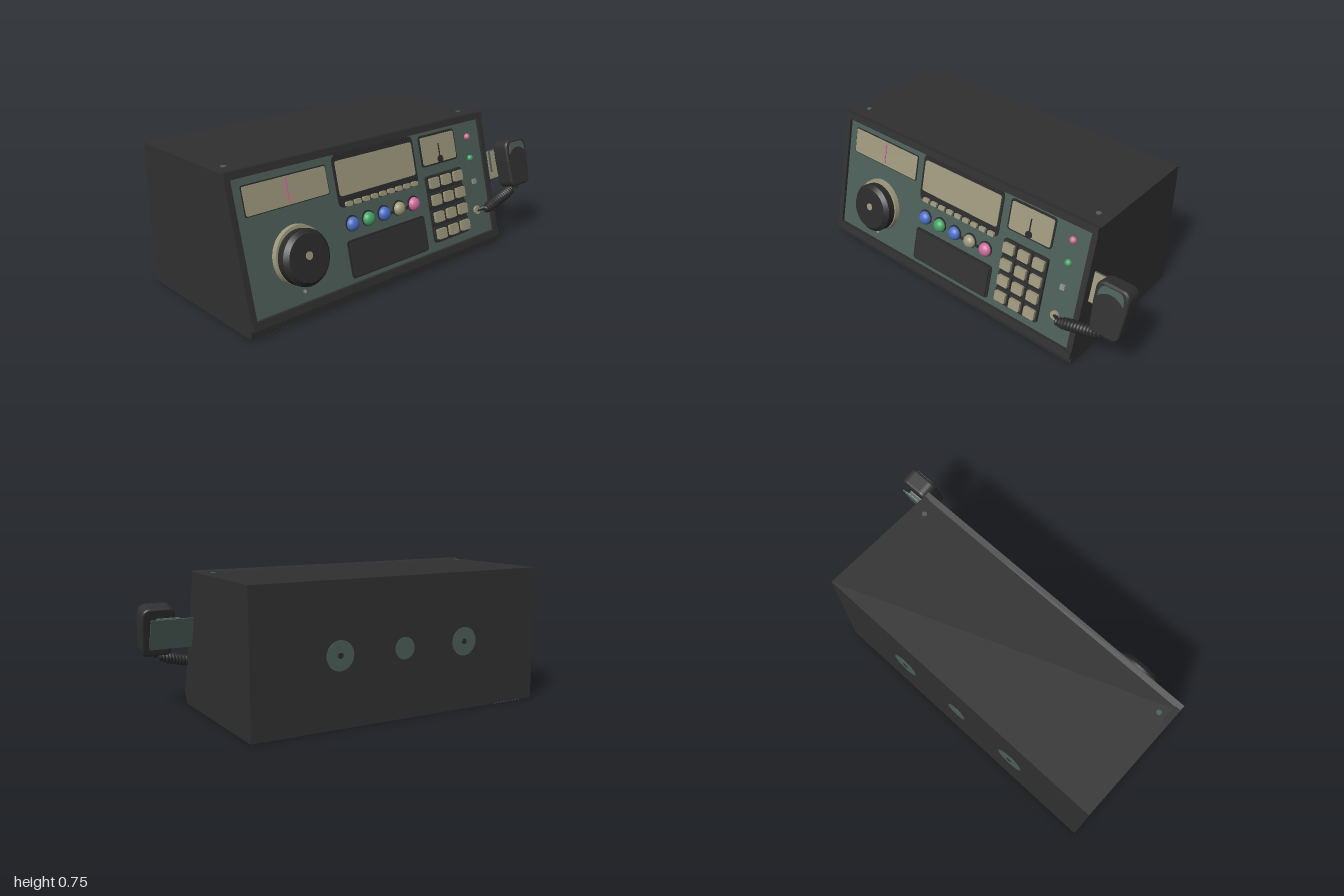
import * as THREE from 'three';

const mat = (name, color) => {
  const m = new THREE.MeshStandardMaterial({ color });
  m.name = name;
  return m;
};

export function createModel() {
  const root = new THREE.Group();
  root.name = 'deskRadio';
  const M = {
    case: mat('charcoal case', 0x303030),
    dark: mat('dark plastic', 0x2a2a2a),
    panel: mat('grey green', 0x4b5d57),
    beige: mat('beige', 0x9b957a),
    blue: mat('blue', 0x4a6ec4),
    green: mat('green', 0x44a062),
    pink: mat('pink', 0xcb6c98),
    grey: mat('light grey', 0x8a8f8c),
  };
  const add = (parent, name, geo, m) => {
    const mesh = new THREE.Mesh(geo, m);
    mesh.name = name;
    parent.add(mesh);
    return mesh;
  };

  // Case: side profiles (z, y) extruded along x
  const profile = (name, pts, xMax, width) => {
    const s = new THREE.Shape(pts.map(p => new THREE.Vector2(...p)));
    const g = new THREE.ExtrudeGeometry(s, { depth: width, bevelEnabled: false });
    g.rotateY(-Math.PI / 2).translate(xMax, 0, 0);
    return add(root, name, g, M.case);
  };
  profile('caseBody', [[-0.455, 0], [0.41, 0], [0.41, 0.045], [0.4, 0.045], [0.22, 0.74], [-0.455, 0.74]], 0.73, 1.73);
  for (const x of [0.73, -0.968])
    profile('sideCheek', [[0.3, 0.045], [0.425, 0.045], [0.246, 0.74], [0.12, 0.74]], x, 0.032);

  // Sloping front: local y runs up the slope, local z points out of it
  const a = Math.atan(0.259), C = Math.cos(a), S = Math.sin(a);
  const front = new THREE.Group();
  front.name = 'frontFace';
  front.position.z = 0.443;
  front.rotation.x = -a;
  root.add(front);
  const P = -0.02; // panel surface
  const up = (y, w) => (y - w * S) / C;

  const box = (name, m, x0, x1, y0, y1, w0, w1) => {
    const h = (y1 - y0) / C;
    const mesh = add(front, name, new THREE.BoxGeometry(x1 - x0, h, w1 - w0), m);
    mesh.position.set((x0 + x1) / 2, up((y0 + y1) / 2, w1), (w0 + w1) / 2);
    return mesh;
  };
  const roundRect = (w, h, r) => {
    const s = new THREE.Shape(), x = w / 2, y = h / 2;
    s.moveTo(-x + r, -y).lineTo(x - r, -y).quadraticCurveTo(x, -y, x, -y + r);
    s.lineTo(x, y - r).quadraticCurveTo(x, y, x - r, y);
    s.lineTo(-x + r, y).quadraticCurveTo(-x, y, -x, y - r);
    s.lineTo(-x, -y + r).quadraticCurveTo(-x, -y, -x + r, -y);
    return s;
  };
  const plate = (name, m, x0, x1, y0, y1, w0, w1, r = 0.02) => {
    const g = new THREE.ExtrudeGeometry(roundRect(x1 - x0, (y1 - y0) / C, r),
      { depth: w1 - w0, bevelEnabled: false, curveSegments: 4 });
    const mesh = add(front, name, g, m);
    mesh.position.set((x0 + x1) / 2, up((y0 + y1) / 2, w1), w0);
    return mesh;
  };
  const disc = (name, m, x, y, r0, r1, w0, w1, seg = 40) => {
    const g = new THREE.CylinderGeometry(r1, r0, w1 - w0, seg).rotateX(Math.PI / 2);
    const mesh = add(front, name, g, m);
    mesh.position.set(x, up(y, w1), (w0 + w1) / 2);
    return mesh;
  };

  // Rails and panel
  box('topRail', M.case, -1, 0.73, 0.712, 0.747, -0.04, 0.002);
  box('bottomRail', M.case, -1, 0.73, 0.048, 0.085, -0.04, 0.002);
  box('frontPanel', M.panel, -0.968, 0.698, 0.08, 0.715, -0.035, P);

  // Tuning scale with needle
  plate('scaleBezel', M.dark, -0.92, -0.43, 0.53, 0.672, P, P + 0.003, 0.01);
  plate('scaleDisplay', M.beige, -0.915, -0.435, 0.535, 0.667, P, P + 0.006, 0.01);
  box('scaleNeedle', M.pink, -0.68, -0.67, 0.548, 0.66, P, P + 0.009);

  // Main display with a row of small buttons
  plate('mainBezel', M.dark, -0.387, 0.17, 0.448, 0.707, P, P + 0.004, 0.04);
  plate('mainDisplay', M.beige, -0.372, 0.155, 0.505, 0.675, P, P + 0.008, 0.015);
  for (let i = 0; i < 9; i++) {
    const x = -0.33 + i * 0.0575;
    plate('displayButton', M.beige, x - 0.021, x + 0.021, 0.454, 0.477, P, P + 0.018, 0.008);
  }

  // Meter
  plate('meterBezel', M.dark, 0.215, 0.495, 0.525, 0.69, P, P + 0.004, 0.02);
  plate('meterDisplay', M.beige, 0.226, 0.486, 0.535, 0.68, P, P + 0.008, 0.012);
  box('meterNeedle', M.dark, 0.352, 0.358, 0.555, 0.635, P, P + 0.011);
  disc('meterPivot', M.dark, 0.355, 0.552, 0.02, 0.02, P, P + 0.013, 20);

  // Domed coloured buttons
  ['blue', 'green', 'blue', 'beige', 'pink'].forEach((c, i) => {
    const x = -0.325 + i * 0.108;
    disc('buttonCollar', M.dark, x, 0.365, 0.041, 0.041, P, P + 0.006, 28);
    const dome = add(front, c + 'Button', new THREE.SphereGeometry(0.037, 28, 16), M[c]);
    dome.scale.z = 0.8;
    dome.position.set(x, up(0.365, 0), P + 0.006);
  });
  box('buttonBridge', M.dark, -0.08, 0.08, 0.345, 0.36, P, P + 0.003);

  // Speaker plate
  plate('speakerFrame', M.dark, -0.378, 0.168, 0.102, 0.288, P, P + 0.005, 0.02);
  plate('speakerPlate', M.case, -0.365, 0.155, 0.113, 0.277, P, P + 0.012, 0.015);

  // Keypad
  plate('keypadBase', M.dark, 0.22, 0.497, 0.124, 0.478, P, P + 0.008, 0.02);
  for (let r = 0; r < 4; r++) for (let c = 0; c < 3; c++) {
    const x = 0.264 + c * 0.095, y = 0.175 + r * 0.09;
    plate('keyCollar', M.case, x - 0.043, x + 0.043, y - 0.036, y + 0.036, P, P + 0.016, 0.01);
    plate('key', M.beige, x - 0.034, x + 0.034, y - 0.027, y + 0.027, P, P + 0.032, 0.008);
  }

  // Tuning dial
  disc('dialRing', M.beige, -0.675, 0.308, 0.147, 0.143, P, P + 0.025, 56);
  disc('dialSkirt', M.dark, -0.675, 0.31, 0.135, 0.135, P, 0.045, 56);
  disc('dialKnob', M.dark, -0.675, 0.313, 0.135, 0.115, 0.045, 0.066, 56);
  disc('dialCap', M.beige, -0.675, 0.325, 0.02, 0.02, 0.06, 0.069, 20);
  disc('dialMark', M.beige, -0.675, 0.13, 0.009, 0.009, P, P + 0.004, 12);

  // Lamps and sockets
  for (const [c, y] of [['pink', 0.628], ['green', 0.51]]) {
    const lamp = add(front, c + 'Lamp', new THREE.SphereGeometry(0.019, 20, 12), M[c]);
    lamp.position.set(0.6, up(y, 0), P);
  }
  box('switch', M.grey, 0.587, 0.615, 0.365, 0.392, P, P + 0.012);
  disc('cordSocket', M.beige, 0.59, 0.22, 0.024, 0.024, P, P + 0.012, 20);

  // Microphone bracket
  box('bracketPlate', M.panel, 0.7, 0.96, 0.34, 0.5, -0.062, -0.055);
  box('bracketFace', M.beige, 0.732, 0.94, 0.342, 0.498, -0.055, -0.052);
  box('micClip', M.panel, 0.8, 0.92, 0.385, 0.505, -0.052, -0.036);
  box('micClipFace', M.beige, 0.8, 0.92, 0.387, 0.503, -0.036, -0.032);

  // Hand microphone: tapered outline with bevelled edges
  const o = new THREE.Shape();
  o.moveTo(-0.055, -0.125).lineTo(0.055, -0.125).quadraticCurveTo(0.068, -0.12, 0.07, -0.1);
  o.lineTo(0.078, 0.02).lineTo(0.078, 0.085).quadraticCurveTo(0.078, 0.122, 0.045, 0.122);
  o.lineTo(-0.045, 0.122).quadraticCurveTo(-0.078, 0.122, -0.078, 0.085);
  o.lineTo(-0.078, 0.02).lineTo(-0.07, -0.1).quadraticCurveTo(-0.068, -0.12, -0.055, -0.125);
  const micGeo = new THREE.ExtrudeGeometry(o, {
    depth: 0.07, bevelThickness: 0.014, bevelSize: 0.012, bevelSegments: 3, curveSegments: 8 });
  add(front, 'microphone', micGeo, M.case).position.set(0.905, up(0.437, 0.025), -0.01);
  const grille = new THREE.Shape();
  grille.moveTo(-0.07, -0.028).quadraticCurveTo(-0.068, 0.034, -0.035, 0.034);
  grille.lineTo(0.035, 0.034).quadraticCurveTo(0.068, 0.034, 0.07, -0.028);
  grille.quadraticCurveTo(0, 0.035, -0.07, -0.028);
  const grilleGeo = new THREE.ExtrudeGeometry(grille, { depth: 0.005, bevelEnabled: false });
  add(front, 'micGrille', grilleGeo, M.panel).position.set(0.905, up(0.53, 0.075), 0.072);

  // Coiled cord: helix around a line, straight at both ends
  const pts = [new THREE.Vector3(0.59, up(0.22, 0), -0.015)];
  const turns = 14, n = turns * 10;
  for (let i = 0; i <= n; i++) {
    const t = i / n, ang = t * turns * Math.PI * 2;
    const r = 0.022 * Math.min(1, 0.5 + t * 3, 0.5 + (1 - t) * 3);
    pts.push(new THREE.Vector3(0.625 + 0.255 * t, up(0.217 + 0.06 * t, 0) + r * Math.cos(ang),
      0.015 + r * Math.sin(ang)));
  }
  pts.push(new THREE.Vector3(0.905, up(0.295, 0), 0.025), new THREE.Vector3(0.908, up(0.33, 0), 0.025));
  add(front, 'coiledCord', new THREE.TubeGeometry(new THREE.CatmullRomCurve3(pts), 700, 0.01, 7), M.dark);
  const relief = new THREE.CylinderGeometry(0.02, 0.015, 0.04, 16);
  add(front, 'cordRelief', relief, M.dark).position.set(0.906, up(0.303, 0.025), 0.025);

  // Rear sockets
  for (const [x, r] of [[0.25, 0.077], [-0.13, 0.058], [-0.51, 0.077]]) {
    const plug = (name, m, rad, d) => add(root, name,
      new THREE.CylinderGeometry(rad, rad, d, 32).rotateX(Math.PI / 2), m).position.set(x, 0.37, -0.455);
    plug('rearSocket', M.panel, r, 0.006);
    if (r > 0.06) plug('rearSocketHole', M.dark, 0.015, 0.01);
  }

  // Top screws and underside feet
  for (const x of [-0.93, 0.655])
    add(root, 'topScrew', new THREE.CylinderGeometry(0.014, 0.014, 0.006, 12), M.panel).position.set(x, 0.74, 0.145);
  for (const [z, start, r] of [[-0.453, 0, 0.1], [0.408, Math.PI, 0.08]]) {
    const foot = add(root, 'foot', new THREE.CircleGeometry(r, 28, start + Math.PI, Math.PI), M.panel);
    foot.rotation.x = Math.PI / 2;
    foot.scale.y = -1;
    foot.material.side = THREE.DoubleSide;
    foot.position.set(-0.83, -0.002, z);
  }
  return root;
}
